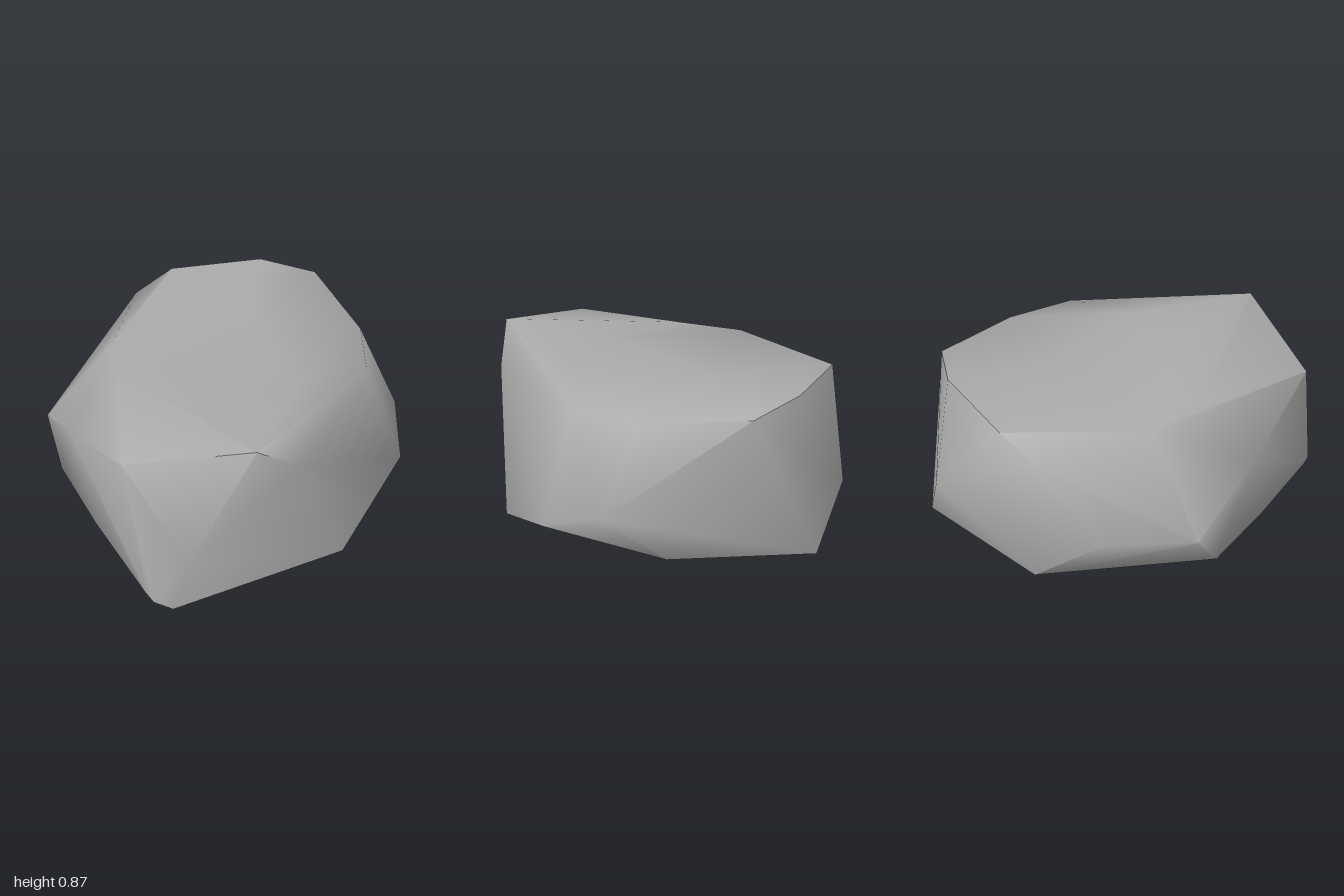
import * as THREE from 'three';
import { ConvexGeometry } from 'three/addons/geometries/ConvexGeometry.js';
import { toCreasedNormals } from 'three/addons/utils/BufferGeometryUtils.js';

// Corner points of the boulder, from the ground up
const base = [
  [0.86, 0, 0.17], [0.17, 0, 0.2], [0.36, 0.015, 0.97], [0.2, 0.045, 0.97],
  [0.27, 0.04, 1], [-0.27, 0.08, 0.72], [-0.66, 0.1, 0.48], [-0.77, 0.06, -0.41],
  [-0.27, 0.055, -1], [0.42, 0.09, -0.76],
];
const flanks = [
  [-0.89, 0.36, -0.07], [-0.81, 0.33, 0.38], [0.89, 0.22, -0.41],
  [0.72, 0.34, -0.68], [-0.46, 0.37, -0.92], [-0.45, 0.55, 0.65], [0.42, 0.3, 0.92],
];
const crown = [
  [0.74, 0.7, 0.45], [0.62, 0.87, 0.65], [0.06, 0.745, 0.92], [-0.74, 0.71, -0.38],
  [-0.62, 0.81, -0.56], [-0.23, 0.84, -0.86], [0.07, 0.81, -0.94], [0.69, 0.76, -0.33],
  [0.5, 0.76, -0.64], [-0.52, 0.77, 0.15], [-0.28, 0.78, 0.38], [0.2, 0.815, 0.28],
  [0, 0.81, -0.4], [0.5, 0.81, 0.05],
];

// Temporary dome over the crown, so its hollow can be wrapped by a convex hull
const dome = (x, z) => 0.15 * Math.max(0, 1.1 - x * x - z * z);

export function createModel() {
  const stone = new THREE.MeshStandardMaterial({ color: 0xaaaaaa });
  stone.name = 'stone grey';

  const points = [...base, ...flanks].map((p) => new THREE.Vector3(...p));
  for (const [x, y, z] of crown) points.push(new THREE.Vector3(x, y + dome(x, z), z));
  const hull = new ConvexGeometry(points);

  // Sink the crown back to its real height
  const pos = hull.attributes.position;
  for (let i = 0; i < pos.count; i++) {
    const y = pos.getY(i);
    if (y > 0.6) pos.setY(i, y - dome(pos.getX(i), pos.getZ(i)));
  }

  const boulder = new THREE.Mesh(toCreasedNormals(hull, 1.2), stone);
  boulder.name = 'boulder';
  const group = new THREE.Group();
  group.name = 'rock';
  group.add(boulder);
  return group;
}
